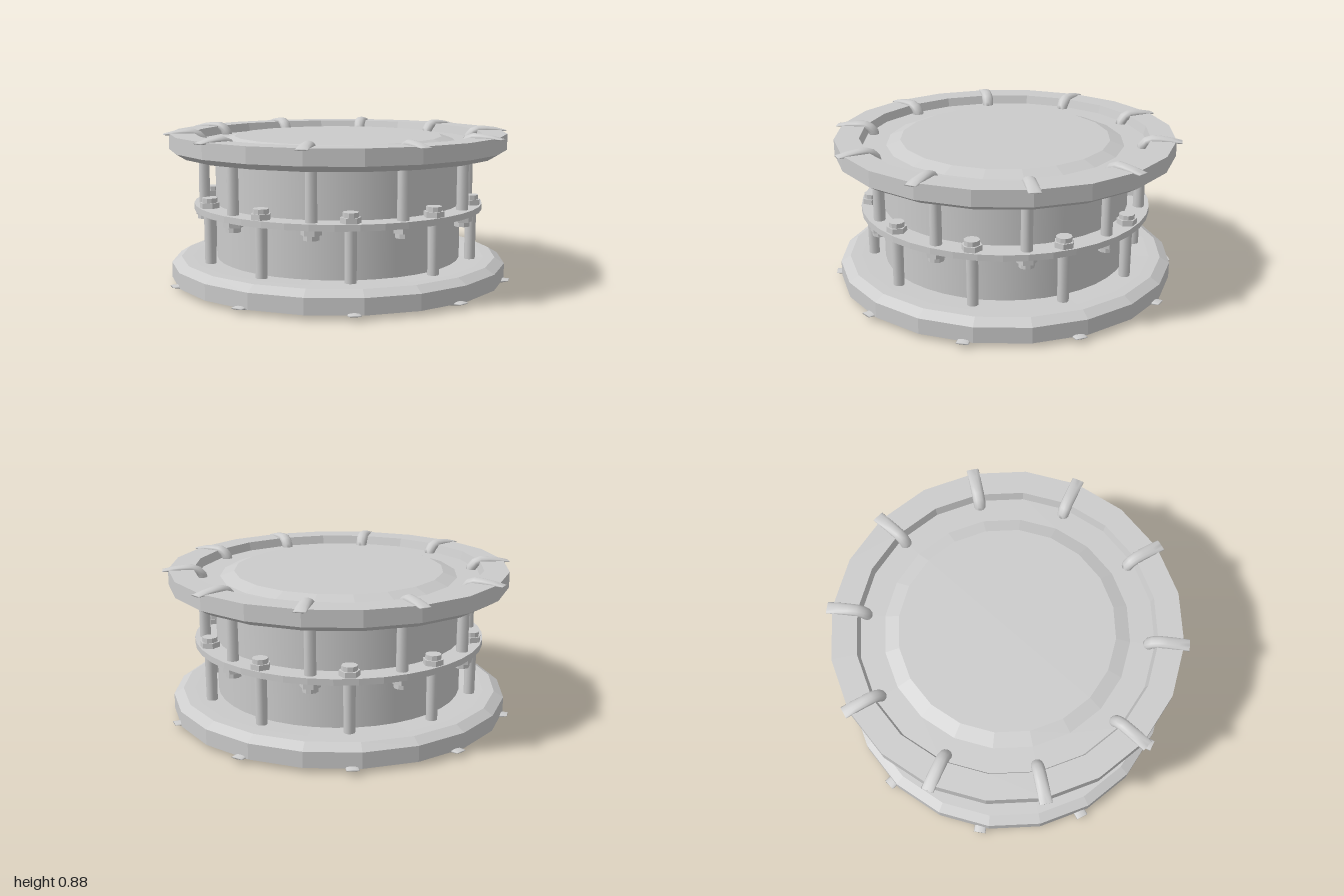
import * as THREE from 'three';

const MID = 0.4425; // height of the centre ring
const SIDES = 20;
const flat = new THREE.MeshStandardMaterial({ color: 0xcccccc, flatShading: true });
const smooth = new THREE.MeshStandardMaterial({ color: 0xcccccc });

function mesh(name, geometry, material = flat) {
  const m = new THREE.Mesh(geometry, material);
  m.name = name;
  return m;
}

function lathe(points, sides) {
  return new THREE.LatheGeometry(points.map(([r, y]) => new THREE.Vector2(r, y)), sides);
}

// Claw lofted from elliptical sections: [radius, height, half width, half thickness]
function clawGeometry() {
  const stations = [
    [0.775, 0.345, 0.031, 0.03], [0.783, 0.38, 0.034, 0.029], [0.803, 0.404, 0.035, 0.027],
    [0.835, 0.417, 0.035, 0.0255], [0.88, 0.419, 0.035, 0.021], [0.94, 0.417, 0.035, 0.015],
    [1.0, 0.412, 0.035, 0.004],
  ];
  const n = 12;
  const last = stations.length - 1;
  const pos = [];
  const idx = [];
  stations.forEach(([r, y, w, h], i) => {
    const a = stations[Math.max(i - 1, 0)];
    const b = stations[Math.min(i + 1, last)];
    const t = new THREE.Vector2(b[0] - a[0], b[1] - a[1]).normalize();
    for (let j = 0; j < n; j++) {
      const ang = (j / n) * Math.PI * 2;
      const c = h * Math.cos(ang);
      pos.push(r - t.y * c, y + t.x * c, w * Math.sin(ang));
      if (i < last) {
        const p = i * n + j;
        const q = i * n + ((j + 1) % n);
        idx.push(p, q, p + n, q, q + n, p + n);
      }
    }
  });
  // End caps
  for (let j = 1; j < n - 1; j++) {
    idx.push(0, j + 1, j, last * n, last * n + j, last * n + j + 1);
  }
  const g = new THREE.BufferGeometry();
  g.setAttribute('position', new THREE.Float32BufferAttribute(pos, 3));
  g.setIndex(idx);
  g.computeVertexNormals();
  return g;
}

const claw = clawGeometry();
const rod = new THREE.CylinderGeometry(0.031, 0.033, 0.32, 10);
const nut = new THREE.CylinderGeometry(0.056, 0.056, 0.03, 6);
const boltHead = new THREE.CylinderGeometry(0.043, 0.043, 0.026, 10);

// One tension rod with its claw on the rim and its bolt beyond the centre ring
function tensioner() {
  const g = new THREE.Group();
  g.name = 'tensioner';
  const place = (name, geo, y, mat) => {
    const m = mesh(name, geo, mat);
    m.position.set(0.775, y, 0);
    g.add(m);
  };
  g.add(mesh('claw', claw, smooth));
  place('rod', rod, 0.17, smooth);
  place('nut', nut, -0.0325);
  place('boltHead', boltHead, -0.0605);
  return g;
}

// Rim, skin and ten tensioners, built upward from the centre ring
function drumHalf(name, offset) {
  const half = new THREE.Group();
  half.name = name;
  half.add(mesh('rim', lathe([
    [0.7, 0.3], [0.85, 0.295], [0.915, 0.295], [0.97, 0.328], [0.97, 0.4175],
    [0.83, 0.4175], [0.815, 0.365],
  ], SIDES)));
  half.add(mesh('skin', lathe([
    [0.83, 0.368], [0.68, 0.37], [0.6, 0.398], [0, 0.398],
  ], SIDES)));
  for (let i = 0; i < 10; i++) {
    const t = tensioner();
    t.rotation.y = offset + (i * Math.PI) / 5;
    half.add(t);
  }
  half.position.y = MID;
  return half;
}

export function createModel() {
  const drum = new THREE.Group();
  drum.name = 'drum';

  const shell = mesh('shell', new THREE.CylinderGeometry(0.71, 0.71, 0.66, 40, 1, true), smooth);
  shell.position.y = MID;
  drum.add(shell);

  const ring = mesh('centreRing', lathe([
    [0.7, -0.0175], [0.835, -0.0175], [0.835, 0.0175], [0.7, 0.0175],
  ], 40));
  ring.position.y = MID;
  drum.add(ring);

  drum.add(drumHalf('upperHalf', 0));
  // The lower half is turned over, its rods falling between the upper ones
  const lower = drumHalf('lowerHalf', THREE.MathUtils.degToRad(21));
  lower.rotation.x = Math.PI;
  drum.add(lower);
  return drum;
}
